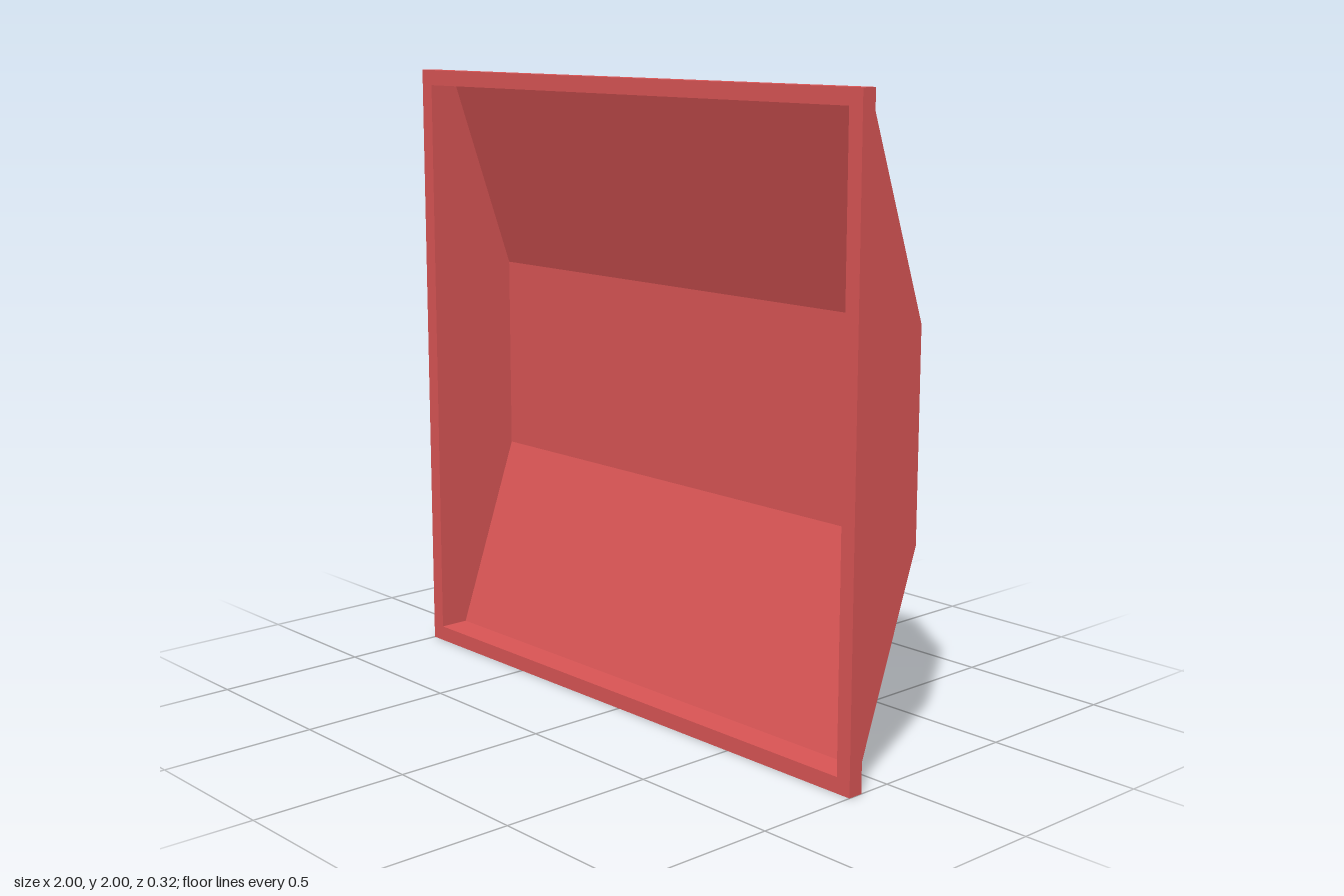
import * as THREE from 'three';

const OUTER = 1;        // half size of the rim
const INNER = 0.95;     // half size of the pan opening
const FRONT = 0.16;     // z of the rim face
const RIM_BACK = 0.11;  // z where the rim's outer lip ends

// Thin sheet: a polyline of [x, y, z] points swept along one vector
function sweep(points, vector) {
  const pos = [];
  for (let i = 0; i < points.length - 1; i++) {
    const a = points[i], b = points[i + 1];
    const c = b.map((v, k) => v + vector[k]);
    const d = a.map((v, k) => v + vector[k]);
    pos.push(...a, ...b, ...c, ...a, ...c, ...d);
  }
  const g = new THREE.BufferGeometry();
  g.setAttribute('position', new THREE.Float32BufferAttribute(pos, 3));
  g.computeVertexNormals();
  return g;
}

// Square outline centred on y = 1, counter-clockwise
const square = (h) => [[-h, 1 - h], [h, 1 - h], [h, 1 + h], [-h, 1 + h]];
const vectors = (list) => list.map(([x, y]) => new THREE.Vector2(x, y));

export function createModel() {
  const group = new THREE.Group();
  const material = new THREE.MeshStandardMaterial({ color: 0xd95555, side: THREE.DoubleSide });
  const add = (name, geometry) => {
    const mesh = new THREE.Mesh(geometry, material);
    mesh.name = name;
    group.add(mesh);
    return mesh;
  };

  // Flat face of the rim
  const face = new THREE.Shape(vectors(square(OUTER)));
  face.holes.push(new THREE.Path(vectors(square(INNER)).reverse()));
  add('rimFace', new THREE.ShapeGeometry(face).translate(0, 0, FRONT));

  // Outer lip folded back around the rim, open behind
  const corners = square(OUTER);
  const loop = [...corners, corners[0]].map(([x, y]) => [x, y, RIM_BACK]);
  add('rimLip', sweep(loop, [0, 0, FRONT - RIM_BACK]));

  // Pan side profile as [z, y]
  const profile = [
    [FRONT, 0.05], [0.06, 0.05], [-0.16, 0.675],
    [-0.16, 1.325], [0.06, 1.95], [FRONT, 1.95],
  ];
  add('panShell', sweep(profile.map(([z, y]) => [-INNER, y, z]), [2 * INNER, 0, 0]));

  // Side walls closing the pan
  for (const side of [-1, 1]) {
    const wall = new THREE.ShapeGeometry(new THREE.Shape(vectors(profile)));
    wall.rotateY(-Math.PI / 2);
    if (side > 0) wall.rotateY(Math.PI).scale(1, 1, -1);
    wall.computeVertexNormals();
    wall.translate(side * INNER, 0, 0);
    add(side > 0 ? 'leftWall' : 'rightWall', wall);
  }

  return group;
}
